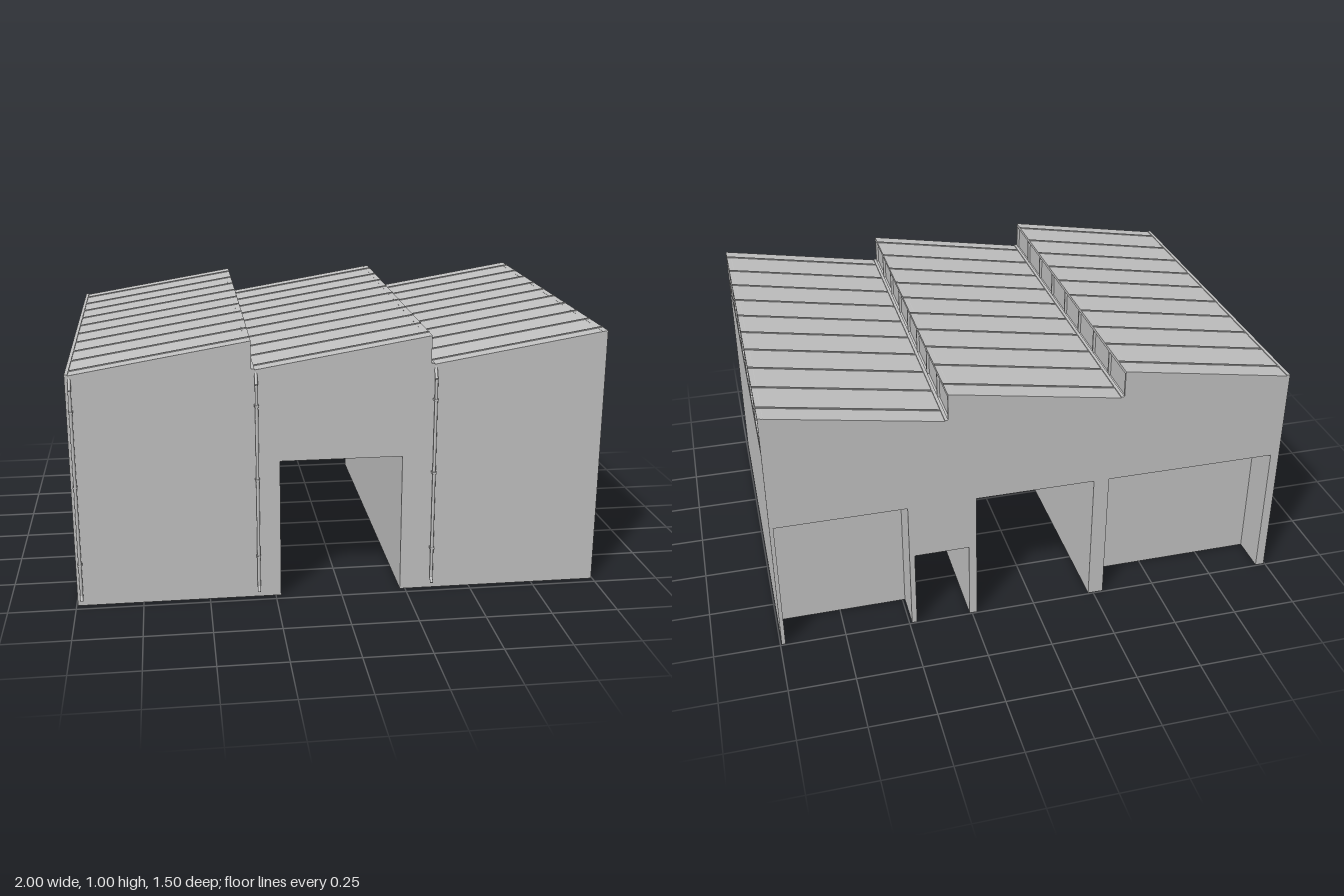
import * as THREE from 'three';

const FRONT = 0.72, BACK = -0.745, SIDE = 0.995, DEPTH = FRONT - BACK, MID = (FRONT + BACK) / 2;
const EAVE = 0.89, RIDGE = 1.0, WALL_TOP = 0.85;
const TOOTH = (2 * SIDE) / 3;

export function createModel() {
  const model = new THREE.Group();
  model.name = 'sawtoothWorkshop';
  const grey = new THREE.MeshStandardMaterial({ color: 0xc0c0c0, side: THREE.DoubleSide });
  grey.name = 'plain grey';

  const add = (parent, name, geometry) => {
    const mesh = new THREE.Mesh(geometry, grey);
    mesh.name = name;
    parent.add(mesh);
    return mesh;
  };
  const group = (name, parent = model) => {
    const g = new THREE.Group();
    g.name = name;
    parent.add(g);
    return g;
  };
  // Box given by its minimum and maximum corners
  const box = (parent, name, x0, x1, y0, y1, z0, z1) => {
    const mesh = add(parent, name, new THREE.BoxGeometry(x1 - x0, y1 - y0, z1 - z0));
    mesh.position.set((x0 + x1) / 2, (y0 + y1) / 2, (z0 + z1) / 2);
    return mesh;
  };
  const path = (points) => points.map(([a, b]) => new THREE.Vector2(a, b));
  // Floor plan of (x, z) points raised from y0 to y1
  const plan = (parent, name, points, y0, y1, hole) => {
    const flip = (list) => path(list.map(([x, z]) => [x, -z]));
    const shape = new THREE.Shape(flip(points));
    if (hole) shape.holes.push(new THREE.Path(flip(hole)));
    const g = new THREE.ExtrudeGeometry(shape, { depth: y1 - y0, bevelEnabled: false });
    add(parent, name, g.rotateX(-Math.PI / 2).translate(0, y0, 0));
  };
  // Outline of (x, y) points drawn out from z0 to z1
  const profile = (parent, name, points, z0, z1) => {
    const g = new THREE.ExtrudeGeometry(new THREE.Shape(path(points)), { depth: z1 - z0, bevelEnabled: false });
    add(parent, name, g.translate(0, 0, z0));
  };

  // Walls: storeys stacked from floor plans, with a passage, rear bays, a side room and a window
  const walls = group('walls');
  const winZ0 = -0.295, winZ1 = 0.125, winY0 = 0.13, winY1 = 0.35, winX = -0.965;
  const westPlan = (window) => [
    [-0.23, FRONT], [-SIDE, FRONT],
    ...(window ? [[-SIDE, winZ1], [winX, winZ1], [winX, winZ0], [-SIDE, winZ0]] : []),
    [-SIDE, BACK], [-0.96, BACK], [-0.96, -0.6], [-0.29, -0.6], [-0.29, BACK], [-0.23, BACK],
  ];
  const eastPlan = (room) => [
    [0.23, FRONT], [SIDE, FRONT], [SIDE, BACK], [0.98, BACK], [0.98, -0.6], [0.49, -0.6], [0.49, BACK],
    ...(room ? [[0.47, BACK], [0.47, -0.52], [0.79, -0.52], [0.79, -0.22], [0.26, -0.22], [0.26, BACK]] : []),
    [0.23, BACK],
  ];
  const floorHole = [[-0.97, -0.4], [-0.53, -0.4], [-0.53, 0.22], [-0.97, 0.22]];
  plan(walls, 'westBase', westPlan(false), 0, 0.02, floorHole);
  plan(walls, 'westLowerWall', westPlan(false), 0.02, winY0);
  plan(walls, 'westWindowWall', westPlan(true), winY0, winY1);
  plan(walls, 'westUpperWall', westPlan(false), winY1, 0.54);
  plan(walls, 'eastLowerWall', eastPlan(true), 0, 0.32);
  plan(walls, 'eastUpperWall', eastPlan(false), 0.32, 0.54);
  box(walls, 'upperStorey', -SIDE, SIDE, 0.54, WALL_TOP, BACK, FRONT);

  // West window frame, mullion and sill
  const window = group('sideWindow');
  const fx0 = -0.985, fx1 = winX, bar = 0.01;
  for (const z of [winZ0, -0.025, winZ1 - bar]) box(window, 'windowUpright', fx0, fx1, winY0, winY1, z, z + bar);
  for (const y of [winY0, winY1 - bar]) box(window, 'windowRail', fx0, fx1, y, y + bar, winZ0, winZ1);
  box(window, 'windowSill', -1, winX, winY0 + 0.002, winY0 + 0.014, winZ0, winZ1);

  // Slim joint strips on the west wall
  for (const z of [-0.378, 0.23]) box(model, 'wallJoint', -SIDE - 0.003, -SIDE, 0, WALL_TOP, z - 0.003, z + 0.003);

  // Saw-toothed gables at front and back
  const gable = [[SIDE, WALL_TOP], [-SIDE, WALL_TOP]];
  for (let i = 0; i < 3; i++) {
    const x = -SIDE + i * TOOTH;
    gable.push([x, EAVE - 0.004], [x + TOOTH, RIDGE - 0.004]);
  }
  profile(model, 'frontGable', gable, FRONT - 0.01, FRONT);
  profile(model, 'backGable', gable, BACK, BACK + 0.01);

  for (let i = 0; i < 3; i++) {
    const x0 = -SIDE + i * TOOTH, x1 = x0 + TOOTH;
    const bay = group('roofBay');
    // Sloping roof sheet with standing seams
    const slope = (lo, hi) => [[x0, EAVE + lo], [x1, RIDGE + lo], [x1, RIDGE + hi], [x0, EAVE + hi]];
    profile(bay, 'roofSheet', slope(-0.012, 0), BACK, FRONT);
    for (let s = 0; s < 10; s++) {
      const z = -0.667 + s * 0.1475;
      profile(bay, 'roofSeam', slope(-0.001, 0.004), z - 0.003, z + 0.003);
    }
    // Strip of roof windows under the ridge
    const sill = 0.88;
    box(bay, 'clerestoryPane', x1 - 0.016, x1 - 0.01, sill, 0.99, BACK, FRONT);
    box(bay, 'clerestorySill', x1 - 0.02, x1, sill - 0.004, sill + 0.008, BACK, FRONT);
    box(bay, 'clerestoryHead', x1 - 0.02, x1, 0.987, 0.997, BACK, FRONT);
    for (let p = 0; p <= 8; p++) {
      const z = BACK + 0.004 + p * (DEPTH - 0.008) / 8;
      box(bay, 'clerestoryPost', x1 - 0.018, x1, sill, 0.99, z - 0.004, z + 0.004);
    }
    // Gutter along the low edge
    box(bay, 'gutter', x0, x0 + 0.012, EAVE - 0.012, EAVE + 0.006, BACK, FRONT);

    // Downpipe with brackets
    const pipe = group('downpipe');
    const px = x0 + 0.017;
    const line = new THREE.CurvePath();
    const stops = [[0.88, 0.715], [0.84, 0.735], [0.05, 0.735], [0.03, 0.748]].map(([y, z]) => new THREE.Vector3(px, y, z));
    for (let k = 0; k < 3; k++) line.add(new THREE.LineCurve3(stops[k], stops[k + 1]));
    for (const part of line.curves) add(pipe, 'pipeRun', new THREE.TubeGeometry(part, 1, 0.006, 10));
    for (const y of [0.17, 0.475, 0.76]) box(pipe, 'pipeBracket', px - 0.008, px + 0.008, y - 0.004, y + 0.004, FRONT, 0.742);
  }
  return model;
}
